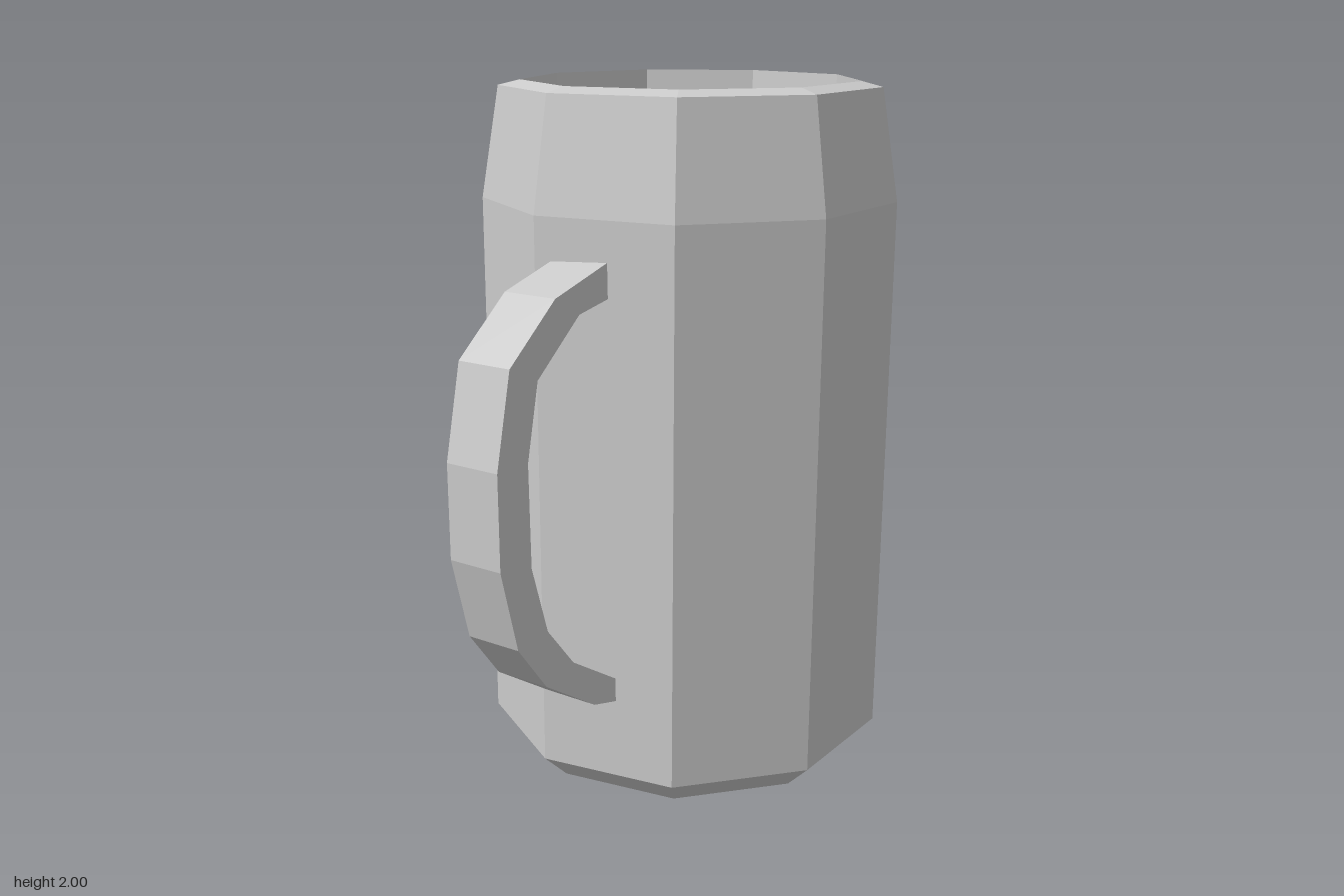
import * as THREE from 'three';

const toPoints = (pairs) => pairs.map(([x, y]) => new THREE.Vector2(x, y));

export function createModel() {
  const model = new THREE.Group();
  model.name = 'mug';
  const material = new THREE.MeshStandardMaterial({ color: 0xcccccc, flatShading: true });

  // Nine-sided body: underside, bevel, wall, shoulder, rim, recess and its floor
  const profile = toPoints([
    [0, 0], [0.51, 0], [0.593, 0.08], [0.598, 1.67], [0.547, 1.985],
    [0.485, 2], [0.467, 1.69], [0, 1.69],
  ]);
  const body = new THREE.Mesh(new THREE.LatheGeometry(profile, 9, Math.PI), material);
  body.name = 'body';
  body.position.set(0.214, 0, 0.013);
  model.add(body);

  // Handle: a faceted C-shaped outline, from the top end round and back along the inside
  const outline = toPoints([
    [-0.335, 1.56], [-0.557, 1.5], [-0.743, 1.355], [-0.803, 1.103], [-0.805, 0.845],
    [-0.747, 0.615], [-0.637, 0.473], [-0.43, 0.34], [-0.332, 0.313],
    [-0.332, 0.382], [-0.52, 0.5], [-0.625, 0.626], [-0.683, 0.82], [-0.684, 1.1],
    [-0.636, 1.305], [-0.46, 1.443], [-0.335, 1.464],
  ]);
  const handleGeometry = new THREE.ExtrudeGeometry(new THREE.Shape(outline), {
    depth: 0.165, bevelEnabled: false,
  });
  // It leans slightly forward towards the bottom
  const pos = handleGeometry.attributes.position;
  for (let i = 0; i < pos.count; i++) {
    pos.setZ(i, pos.getZ(i) - 0.043 + 0.014 * (1.55 - pos.getY(i)));
  }
  handleGeometry.computeVertexNormals();
  const handle = new THREE.Mesh(handleGeometry, material);
  handle.name = 'handle';
  model.add(handle);

  return model;
}
